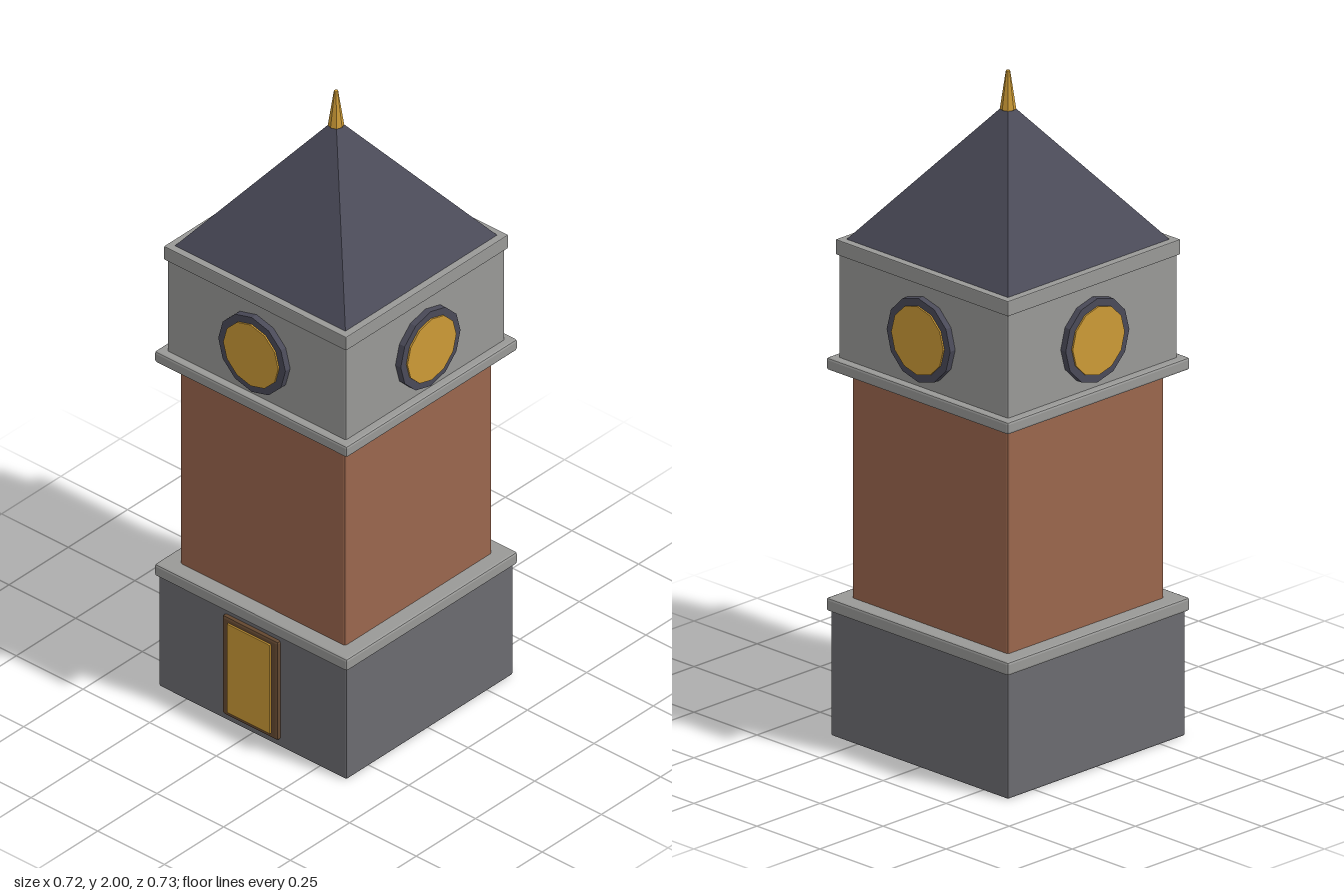
import * as THREE from 'three';
import { RoundedBoxGeometry } from 'three/addons/geometries/RoundedBoxGeometry.js';

const mat = (name, color) =>
  new THREE.MeshStandardMaterial({ name, color, flatShading: true });

export function createModel() {
  const baseStone = mat('darkStone', 0x6b6b70);
  const trim = mat('lightStone', 0x999997);
  const brick = mat('brick', 0x9a664d);
  const slate = mat('slate', 0x4a4a58);
  const gold = mat('gold', 0xcc9a36);
  const wood = mat('wood', 0x664a32);

  const tower = new THREE.Group();
  tower.name = 'clockTower';
  tower.position.z = -0.005;

  const add = (name, geometry, material, x, y, z, parent = tower) => {
    const mesh = new THREE.Mesh(geometry, material);
    mesh.name = name;
    mesh.position.set(x, y, z);
    parent.add(mesh);
    return mesh;
  };

  // Square storeys with a small chamfer: name, half width, bottom, top, chamfer
  const storeys = [
    ['base', 0.352, 0, 0.38, 0.006, baseStone],
    ['baseCornice', 0.361, 0.375, 0.415, 0.007, trim],
    ['brickShaft', 0.31, 0.4, 1.11, 0.008, brick],
    ['belfryLedge', 0.361, 1.1, 1.137, 0.007, trim],
    ['belfry', 0.335, 1.12, 1.46, 0.005, trim],
    ['roofCornice', 0.342, 1.446, 1.492, 0.003, trim],
  ];
  for (const [name, half, bottom, top, chamfer, material] of storeys) {
    const box = new RoundedBoxGeometry(half * 2, top - bottom, half * 2, 1, chamfer);
    add(name, box, material, 0, (bottom + top) / 2, 0);
  }

  // Pyramid roof and tapered finial
  const roof = new THREE.ConeGeometry(0.321 * Math.SQRT2, 0.415, 4);
  roof.rotateY(Math.PI / 4);
  add('roof', roof, slate, 0, 1.4905 + 0.2075, 0);
  add('finial', new THREE.CylinderGeometry(0.006, 0.023, 0.115, 8), gold, 0, 1.9425, 0);

  // A twelve-sided clock on each face of the belfry
  const rimGeometry = new THREE.CylinderGeometry(0.126, 0.126, 0.03, 12).rotateX(Math.PI / 2);
  const dialGeometry = new THREE.CylinderGeometry(0.103, 0.103, 0.009, 12).rotateX(Math.PI / 2);
  ['front', 'left', 'back', 'right'].forEach((side, i) => {
    const clock = new THREE.Group();
    clock.name = side + 'Clock';
    clock.rotation.y = (i * Math.PI) / 2;
    add('clockRim', rimGeometry, slate, 0, 1.285, 0.34, clock);
    add('clockDial', dialGeometry, gold, 0, 1.285, 0.3555, clock);
    tower.add(clock);
  });

  // Front door: chamfered frame and thin panel
  add('doorFrame', new RoundedBoxGeometry(0.21, 0.335, 0.04, 1, 0.008), wood, 0, 0.1925, 0.344);
  add('doorPanel', new THREE.BoxGeometry(0.16, 0.3, 0.009), gold, 0, 0.1925, 0.3655);

  const model = new THREE.Group();
  model.name = 'model';
  model.add(tower);
  return model;
}
